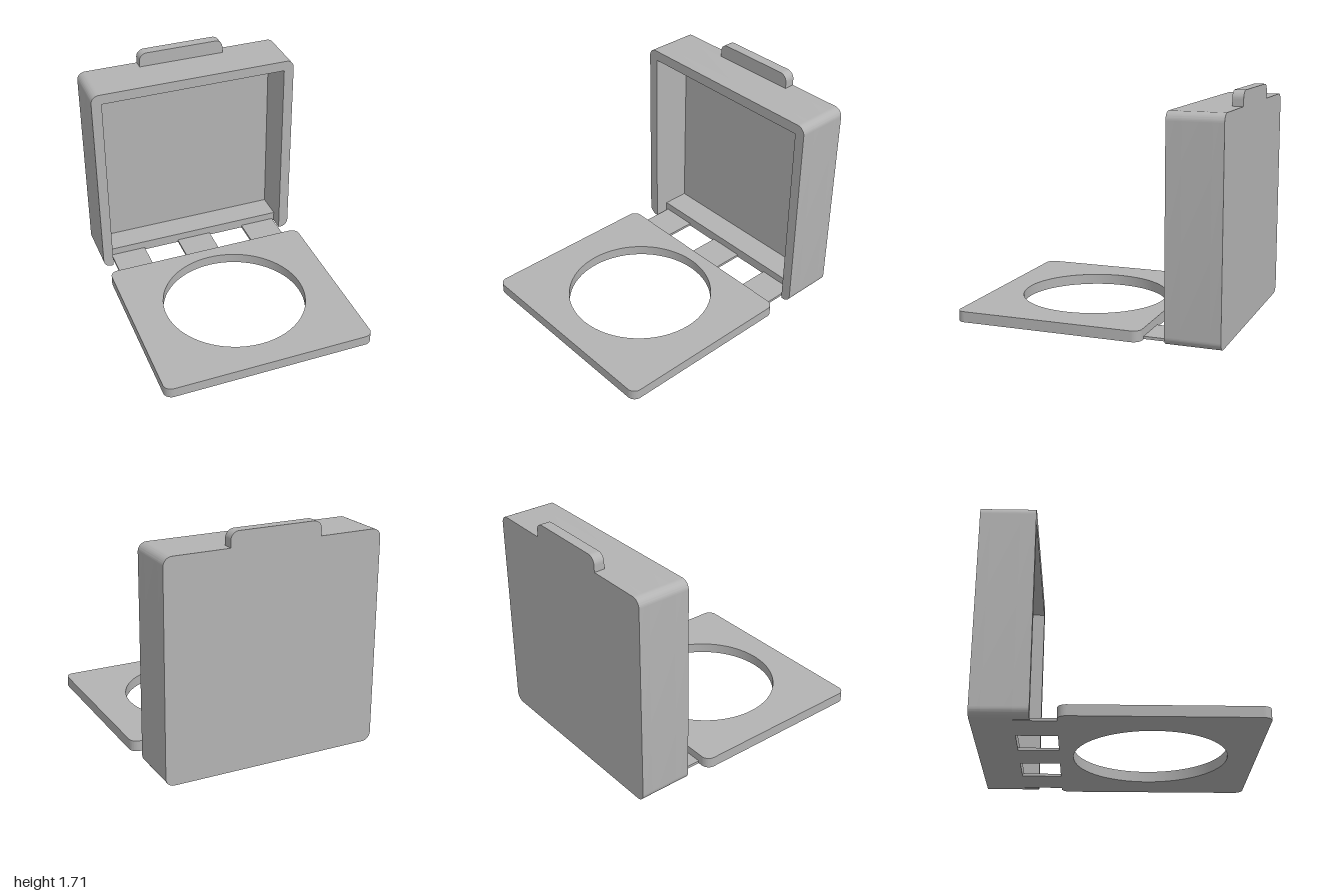
import * as THREE from 'three';
import { toCreasedNormals } from 'three/addons/utils/BufferGeometryUtils.js';

const W = 0.82, H = 1.6, R = 0.063, WALL = 0.08;

// Rectangle with separate bottom and top corner radii
function roundedRect(x0, y0, x1, y1, rBottom, rTop) {
  const s = new THREE.Shape();
  s.moveTo(x0 + rBottom, y0);
  s.lineTo(x1 - rBottom, y0);
  if (rBottom) s.absarc(x1 - rBottom, y0 + rBottom, rBottom, -Math.PI / 2, 0);
  s.lineTo(x1, y1 - rTop);
  s.absarc(x1 - rTop, y1 - rTop, rTop, 0, Math.PI / 2);
  s.lineTo(x0 + rTop, y1);
  s.absarc(x0 + rTop, y1 - rTop, rTop, Math.PI / 2, Math.PI);
  s.lineTo(x0, y0 + rBottom);
  if (rBottom) s.absarc(x0 + rBottom, y0 + rBottom, rBottom, Math.PI, Math.PI * 1.5);
  return s;
}

function extrude(shape, depth, curveSegments = 10) {
  const g = new THREE.ExtrudeGeometry(shape, { depth, bevelEnabled: false, curveSegments });
  return toCreasedNormals(g, 0.6);
}

export function createModel() {
  const model = new THREE.Group();
  model.name = 'hingedCase';
  const grey = new THREE.MeshStandardMaterial({ color: 0xb3b3b3 });
  grey.name = 'plainGrey';

  const add = (name, geometry, x = 0, y = 0, z = 0) => {
    const mesh = new THREE.Mesh(geometry, grey);
    mesh.name = name;
    mesh.position.set(x, y, z);
    model.add(mesh);
    return mesh;
  };

  // Upright tray: back panel
  add('trayBack', extrude(roundedRect(-W, 0, W, H, R, R), 0.08), 0, 0, -1);

  // Closed wall frame around the cavity
  const inner = W - WALL;
  const frame = roundedRect(-W, 0, W, H, R, R);
  frame.holes.push(new THREE.Path([
    new THREE.Vector2(-inner, WALL), new THREE.Vector2(-inner, H - WALL),
    new THREE.Vector2(inner, H - WALL), new THREE.Vector2(inner, WALL),
  ]));
  add('trayWalls', extrude(frame, 0.21), 0, 0, -0.92);

  // Front of the walls, open at the bottom to clear the hinge
  const rim = new THREE.Shape();
  rim.moveTo(inner, 0);
  rim.lineTo(W - R, 0);
  rim.absarc(W - R, R, R, -Math.PI / 2, 0);
  rim.absarc(W - R, H - R, R, 0, Math.PI / 2);
  rim.absarc(-W + R, H - R, R, Math.PI / 2, Math.PI);
  rim.absarc(-W + R, R, R, Math.PI, Math.PI * 1.5);
  rim.lineTo(-inner, 0);
  rim.lineTo(-inner, H - WALL);
  rim.lineTo(inner, H - WALL);
  add('trayRim', extrude(rim, 0.11), 0, 0, -0.71);

  // Pull tab on top of the tray
  add('pullTab', extrude(roundedRect(-0.342, H, 0.342, 1.71, 0, 0.06), 0.08), 0, 0, -1);

  // Flat lid with a round window (shape y becomes -z)
  const lid = roundedRect(-W, -1, W, 0.42, R, R);
  const windowHole = new THREE.Path();
  windowHole.absarc(0, -0.235, 0.555, 0, Math.PI * 2, true);
  lid.holes.push(windowHole);
  add('windowLid', extrude(lid, WALL, 32)).rotation.x = -Math.PI / 2;

  // Three thin living hinges
  for (const x of [-0.58, 0, 0.58]) {
    add('hingeStrip', new THREE.BoxGeometry(0.285, 0.02, 0.29), x, 0.01, -0.565);
  }
  return model;
}
